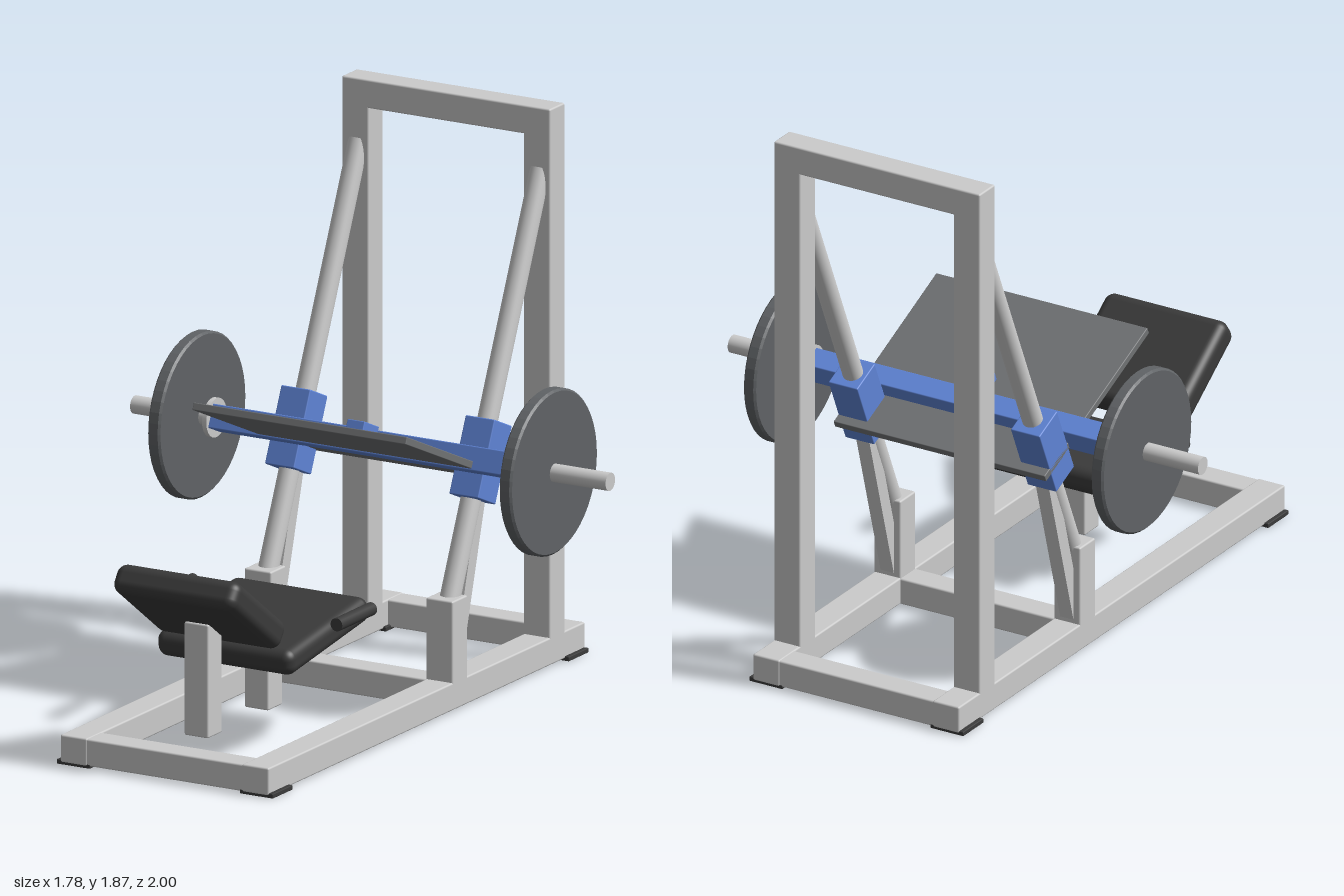
import * as THREE from 'three';
import { RoundedBoxGeometry } from 'three/addons/geometries/RoundedBoxGeometry.js';

const TILT = 0.415; // lean of the guide tubes, carriage and foot plate

export function createModel() {
  const model = new THREE.Group();
  model.name = 'legPressMachine';
  const mat = (color) => new THREE.MeshStandardMaterial({ color });
  const grey = mat(0xcccccc), blue = mat(0x5f84d6), pad = mat(0x3a3a3a);
  const iron = mat(0x606366), plateMat = mat(0x707274), rubber = mat(0x3c3c3c);

  const add = (name, geo, material, x, y, z, rx = 0) => {
    const m = new THREE.Mesh(geo, material);
    m.name = name;
    m.position.set(x, y, z);
    m.rotation.x = rx;
    model.add(m);
    return m;
  };
  const box = (name, material, [w, h, d], [x, y, z], rx = 0, r = 0.006, seg = 2) =>
    add(name, new RoundedBoxGeometry(w, h, d, seg, r), material, x, y, z, rx);
  // Bar lying in the y-z plane between two [y, z] points
  const strut = (name, geoFor, material, x, [y0, z0], [y1, z1]) => {
    const len = Math.hypot(y1 - y0, z1 - z0);
    return add(name, geoFor(len), material, x, (y0 + y1) / 2, (z0 + z1) / 2,
      Math.atan2(z1 - z0, y1 - y0));
  };

  // Base cross bars and top bar
  for (const [name, z] of [['frontBaseBar', 0.95], ['middleBaseBar', -0.21], ['rearBaseBar', -0.95]])
    box(name, grey, [0.66, 0.09, 0.095], [0, 0.053, z]);
  box('topBar', grey, [0.78, 0.095, 0.095], [0, 1.8225, -0.825]);

  // Weight disc profile with softened rims
  const discProfile = [[0, -0.023], [0.268, -0.023], [0.275, -0.016], [0.275, 0.016], [0.268, 0.023], [0, 0.023]]
    .map(([r, y]) => new THREE.Vector2(r, y));
  const discGeo = new THREE.LatheGeometry(discProfile, 48).toNonIndexed();
  discGeo.computeVertexNormals();
  discGeo.rotateZ(Math.PI / 2);
  const rod = (r, len) => new THREE.CylinderGeometry(r, r, len, 32).rotateZ(Math.PI / 2);

  for (const s of [-1, 1]) {
    const x = 0.34 * s;
    // Frame sides
    box('baseRail', grey, [0.1, 0.092, 2], [x, 0.054, 0]);
    box('upright', grey, [0.1, 1.79, 0.095], [x, 0.975, -0.825]);
    box('guidePost', grey, [0.1, 0.29, 0.095], [x, 0.227, -0.21]);
    for (const z of [-0.935, 0.935])
      box('rubberFoot', rubber, [0.125, 0.016, 0.125], [0.3425 * s, 0.008, z], 0, 0.003);

    // Sloping guide tube and its rear brace
    strut('guideTube', (l) => new THREE.CylinderGeometry(0.034, 0.034, l, 32), grey, x,
      [0.35, -0.226], [1.66, -0.802]);
    strut('guideBrace', (l) => new THREE.BoxGeometry(0.05, l, 0.05), grey, x,
      [0.09, -0.225], [0.79, -0.425]);

    // Sliding carriage, weight sleeves and discs
    box('carriageBracket', blue, [0.11, 0.26, 0.12], [0.345 * s, 0.78, -0.415], -TILT, 0.004);
    add('collar', rod(0.065, 0.016), grey, 0.592 * s, 0.81, -0.315);
    add('weightSleeve', rod(0.03, 0.31), grey, 0.735 * s, 0.81, -0.315);
    add('weightDisc', discGeo, iron, 0.658 * s, 0.81, -0.315);

    // Hand grips beside the seat
    add('handGrip', new THREE.CylinderGeometry(0.022, 0.022, 0.22, 24), rubber,
      0.333 * s, 0.444, 0.365, Math.PI / 2);
  }

  // Carriage bar, foot plate and centre bracket
  box('carriageBar', blue, [1.18, 0.08, 0.08], [0, 0.81, -0.315], -TILT, 0.004);
  box('footPlate', plateMat, [0.8, 0.025, 0.69], [0, 0.85, -0.17], -TILT, 0.003);
  box('plateBracket', blue, [0.065, 0.06, 0.1], [0, 0.865, -0.245], -TILT, 0.003);

  // Seat, backrest and their posts
  box('seatPost', grey, [0.09, 0.25, 0.09], [0, 0.225, 0.375]);
  box('backrestPost', grey, [0.09, 0.38, 0.09], [0, 0.29, 0.755]);
  box('seat', pad, [0.51, 0.088, 0.515], [0, 0.367, 0.377], 0.14, 0.035, 5);
  box('backrest', pad, [0.46, 0.1, 0.39], [0, 0.532, 0.78], -0.62, 0.035, 5);

  return model;
}
